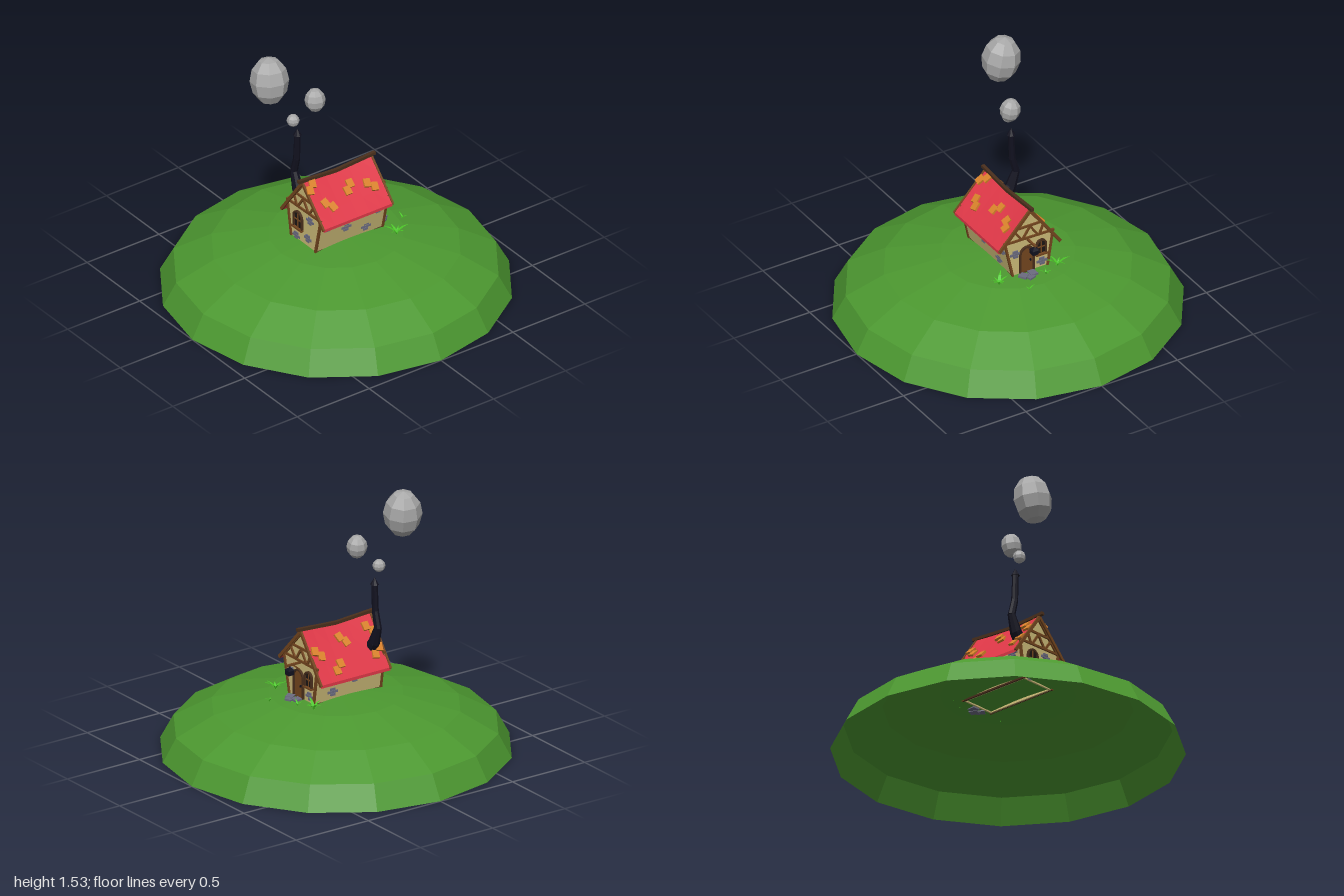
import * as THREE from 'three';

const mat = (color, side = THREE.FrontSide) => new THREE.MeshStandardMaterial({ color, flatShading: true, side });
const grass = mat(0x4c9830, THREE.DoubleSide), leaf = mat(0x4cc828, THREE.DoubleSide);
const plaster = mat(0xcdbb78), red = mat(0xe03848), wood = mat(0x74461f), darkWood = mat(0x4a2f1c);
const stone = mat(0x6c6c80), tile = mat(0xd9822b), iron = mat(0x11111f), glass = mat(0x1c1614), smoke = mat(0xa8a8a8);
const V = (x, y, z) => new THREE.Vector3(x, y, z);

export function createModel() {
  const root = new THREE.Group();
  const add = (name, geo, m, parent = root) => {
    const mesh = new THREE.Mesh(geo, m);
    mesh.name = name;
    parent.add(mesh);
    return mesh;
  };
  const box = (name, w, h, d, m, p, parent) => {
    const b = add(name, new THREE.BoxGeometry(w, h, d), m, parent);
    b.position.copy(p);
    return b;
  };
  // box stretched between two points
  const plank = (name, a, b, w, d, m, parent) => {
    const dir = b.clone().sub(a);
    const k = box(name, w, dir.length(), d, m, a.clone().lerp(b, 0.5), parent);
    k.quaternion.setFromUnitVectors(V(0, 1, 0), dir.normalize());
    return k;
  };

  // hill: open dome with even rings
  const rings = [0, 1, 2, 3, 4].map(i => {
    const a = i * Math.PI / 8;
    return new THREE.Vector2(Math.max(Math.cos(a), 0.0001), 0.37 * Math.sin(a));
  });
  add('hill', new THREE.LatheGeometry(rings, 16), grass);

  const house = new THREE.Group();
  house.name = 'house';
  root.add(house);

  // walls lean outward; the gable is slightly lopsided
  const BL = [-0.112, 0.345], BR = [0.115, 0.345], TL = [-0.145, 0.555], TR = [0.165, 0.57], TOP = [0.003, 0.745];
  const outline = new THREE.Shape([BL, BR, TR, TOP, TL].map(p => new THREE.Vector2(...p)));
  for (const z of [0.215, -0.235])
    add('gableWall', new THREE.ExtrudeGeometry(outline, { depth: 0.01, bevelEnabled: false }), plaster, house).position.z = z;
  for (const [b, t, s] of [[BL, TL, 1], [BR, TR, -1]])
    plank('sideWall', V(b[0] + s * 0.006, b[1], -0.005), V(t[0] + s * 0.006, t[1], -0.005), 0.012, 0.455, plaster, house);

  // timber frame on both gables
  for (const z of [0.227, -0.237]) {
    const bars = [[BL, TL], [BR, TR], [[-0.155, 0.573], [0.175, 0.58]], [TL, TOP], [TR, TOP],
      [[-0.075, 0.655], [0.085, 0.655]], [[-0.06, 0.58], [-0.085, 0.635]], [[0.06, 0.58], [0.1, 0.635]],
      [[-0.045, 0.58], [0.003, 0.65]], [[0.05, 0.58], [0.003, 0.65]]];
    for (const [a, b] of bars) plank('timber', V(...a, z), V(...b, z), 0.013, 0.014, wood, house);
  }
  for (const x of [BL[0], BR[0]])
    plank('sillBeam', V(x, 0.349, -0.24), V(x, 0.349, 0.23), 0.01, 0.01, darkWood, house);

  // roof halves: subdivided slabs whose ridge sags in the middle
  const RIDGE = [0.003, 0.765];
  for (const [ex, ey, s] of [[-0.195, 0.493, -1], [0.208, 0.548, 1]]) {
    const g = new THREE.BoxGeometry(1, 1, 1, 3, 1, 6), p = g.attributes.position;
    for (let i = 0; i < p.count; i++) {
      const u = 0.5 + s * p.getX(i), z = p.getZ(i);
      const y = RIDGE[1] + (ey - RIDGE[1]) * u - 0.016 * (1 - 4 * z * z) * (1 - u);
      p.setXYZ(i, RIDGE[0] + (ex - RIDGE[0]) * u, y + (p.getY(i) - 0.5) * 0.018, z * 0.478 - 0.003);
    }
    g.computeVertexNormals();
    add('roofSide', g, red, house);
    // verge boards at both gable ends
    for (const z of [0.237, -0.243])
      plank('vergeBoard', V(RIDGE[0], RIDGE[1] - 0.008, z), V(ex, ey - 0.008, z), 0.018, 0.012, wood, house);
    // orange patches of loose tiles
    const patches = s < 0 ? [[-0.09, -0.19], [-0.15, -0.09], [-0.06, 0], [-0.13, 0.19], [-0.05, 0.19]]
      : [[0.11, -0.16], [0.085, -0.025], [0.125, 0.14], [0.035, 0.2]];
    const slope = Math.atan2(ey - RIDGE[1], ex - RIDGE[0]);
    patches.forEach(([x, z], i) => {
      const u = (x - RIDGE[0]) / (ex - RIDGE[0]);
      const patch = new THREE.Group();
      patch.name = 'tilePatch';
      patch.position.set(x, RIDGE[1] + (ey - RIDGE[1]) * u - 0.014 * (1 - u) * (1 - 16 * z * z) + 0.005, z);
      patch.rotation.z = s < 0 ? slope + Math.PI : slope;
      house.add(patch);
      for (let k = 0; k < 2; k++) {
        const t = box('rooftile', 0.05, 0.014, 0.042, tile, V((k - 0.5) * 0.034, k * 0.005, (k - 0.5) * (i % 2 ? 0.034 : -0.034)), patch);
        t.rotation.set(0, (i % 3 - 1) * 0.25, s * 0.12);
      }
    });
  }
  // ridge pole in two sagging lengths
  plank('ridgePole', V(0.003, 0.772, 0.265), V(0.003, 0.755, 0), 0.02, 0.018, darkWood, house);
  plank('ridgePole', V(0.003, 0.755, 0), V(0.003, 0.772, -0.268), 0.02, 0.018, darkWood, house);

  // arched outline for windows and door
  const arch = (w, h, Type = THREE.Shape) => {
    const s = new Type();
    s.moveTo(-w, 0);
    s.lineTo(w, 0);
    s.lineTo(w, h - w);
    s.absarc(0, h - w, w, 0, Math.PI, false);
    s.lineTo(-w, 0);
    return s;
  };
  const opening = (name, x, y, back, w, h, fill) => {
    const g = new THREE.Group();
    g.name = name;
    g.position.set(x, y, back ? -0.235 : 0.225);
    g.rotation.y = back ? Math.PI : 0;
    house.add(g);
    const ex = depth => ({ depth, bevelEnabled: false, curveSegments: 6 });
    add('panel', new THREE.ExtrudeGeometry(arch(w, h), ex(0.004)), fill, g);
    const frame = arch(w + 0.009, h + 0.009);
    frame.holes.push(arch(w - 0.001, h - 0.001, THREE.Path));
    add('frame', new THREE.ExtrudeGeometry(frame, ex(0.014)), darkWood, g);
    if (fill === glass) {
      box('mullion', 0.006, h, 0.008, wood, V(0, h / 2, 0.005), g);
      box('crossbar', w * 2, 0.006, 0.008, wood, V(0, h * 0.5, 0.005), g);
      box('windowSill', w * 2 + 0.026, 0.01, 0.022, wood, V(0, -0.004, 0.008), g);
    } else box('doorHandle', 0.007, 0.012, 0.012, iron, V(w * 0.6, h * 0.45, 0.008), g);
  };
  opening('frontWindow', -0.046, 0.435, false, 0.034, 0.1, glass);
  opening('backWindow', -0.07, 0.445, true, 0.026, 0.085, glass);
  opening('door', 0.025, 0.355, true, 0.04, 0.16, wood);

  // clusters of exposed stones
  const cluster = (p, ry, rz) => {
    const g = new THREE.Group();
    g.name = 'stones';
    g.position.copy(p);
    g.rotation.set(0, ry, rz);
    house.add(g);
    for (const [x, y, w] of [[0, 0.016, 0.034], [-0.02, 0, 0.03], [0.015, -0.001, 0.034], [-0.004, -0.017, 0.03]])
      box('stone', w, 0.014, 0.012, stone, V(x, y, 0), g);
  };
  for (const [x, y] of [[0.065, 0.53], [0.045, 0.405], [-0.065, 0.372]]) cluster(V(x, y, 0.225), 0, 0);
  for (const [x, y] of [[0.1, 0.49], [-0.075, 0.39]]) cluster(V(x, y, -0.236), 0, 0);
  for (const s of [-1, 1])
    for (const [z, y] of [[0.165, 0.51], [0.03, 0.46], [-0.115, 0.405], [-0.185, 0.505]])
      cluster(V(s * (0.113 + (y - 0.345) * (s > 0 ? 0.222 : 0.157)), y, z), Math.PI / 2, 0);

  // lantern on a bracket above the door
  const lantern = new THREE.Group();
  lantern.name = 'lantern';
  root.add(lantern);
  plank('bracket', V(0.018, 0.565, -0.23), V(0.018, 0.565, -0.325), 0.012, 0.012, wood, lantern);
  plank('brace', V(0.018, 0.525, -0.24), V(0.018, 0.56, -0.285), 0.008, 0.008, wood, lantern);
  box('hook', 0.005, 0.03, 0.005, iron, V(0.018, 0.55, -0.308), lantern);
  box('lampBody', 0.036, 0.032, 0.036, iron, V(0.018, 0.523, -0.308), lantern);
  const cap = add('lampCap', new THREE.ConeGeometry(0.032, 0.018, 4), iron, lantern);
  cap.position.set(0.018, 0.545, -0.308);
  cap.rotation.y = Math.PI / 4;

  // crooked stovepipe
  const joints = [[-0.085, 0.585, 0.036], [-0.125, 0.64, 0.034], [-0.16, 0.735, 0.022], [-0.135, 0.83, 0.02], [-0.128, 0.99, 0.018]];
  joints.slice(1).forEach(([x, y, r], i) => {
    const [px, py, pr] = joints[i];
    const a = V(px, py, 0.175), b = V(x, y, 0.175), dir = b.clone().sub(a);
    const c = add('stovepipe', new THREE.CylinderGeometry(r, pr, dir.length() + 0.008, 8), iron);
    c.position.copy(a).lerp(b, 0.5);
    c.quaternion.setFromUnitVectors(V(0, 1, 0), dir.normalize());
  });
  add('pipeCap', new THREE.ConeGeometry(0.025, 0.045, 8), iron).position.set(-0.128, 1.01, 0.175);

  // smoke puffs
  for (const [x, y, z, r, h, tilt] of [[-0.128, 1.095, 0.205, 0.037, 0.037, 0], [-0.072, 1.218, 0.093, 0.06, 0.07, 0.15], [-0.166, 1.393, 0.342, 0.112, 0.142, 0.16]]) {
    const puff = add('smokePuff', new THREE.SphereGeometry(1, 8, 6), smoke);
    puff.position.set(x, y, z);
    puff.scale.set(r, h, r);
    puff.rotation.set(-tilt * 0.6, 0.2, tilt);
  }

  // doorstep slabs
  for (let i = 0; i < 3; i++)
    box('doorstep', 0.045, 0.016, 0.05, stone, V(0.005 + i * 0.03, 0.352 - i % 2 * 0.003, -0.27 - i % 2 * 0.022), root).rotation.y = i * 0.3;

  // grass tufts made of bent blades
  for (const [x, z, n, size] of [[-0.16, -0.27, 6, 0.07], [-0.06, -0.31, 4, 0.05], [0.1, -0.39, 3, 0.035], [0.22, -0.26, 7, 0.07]]) {
    const tuft = new THREE.Group();
    tuft.name = 'grassTuft';
    tuft.position.set(x, 0.37 - 0.075 * Math.hypot(x, z), z);
    root.add(tuft);
    for (let i = 0; i < n; i++) {
      const g = new THREE.PlaneGeometry(1, 1, 2, 3), p = g.attributes.position;
      for (let k = 0; k < p.count; k++) {
        const t = p.getY(k) + 0.5, w = 0.22 * Math.sin(Math.PI * (0.12 + 0.88 * t));
        p.setXYZ(k, p.getX(k) * w, 0.95 * t - 0.35 * t * t - 0.03, 0.75 * t * t + 0.1 * t);
      }
      g.computeVertexNormals();
      const blade = add('blade', g, leaf, tuft);
      blade.scale.setScalar(size * (0.75 + 0.25 * (i % 3)));
      blade.rotation.y = i * Math.PI * 2 / n + x * 5;
    }
  }
  return root;
}
